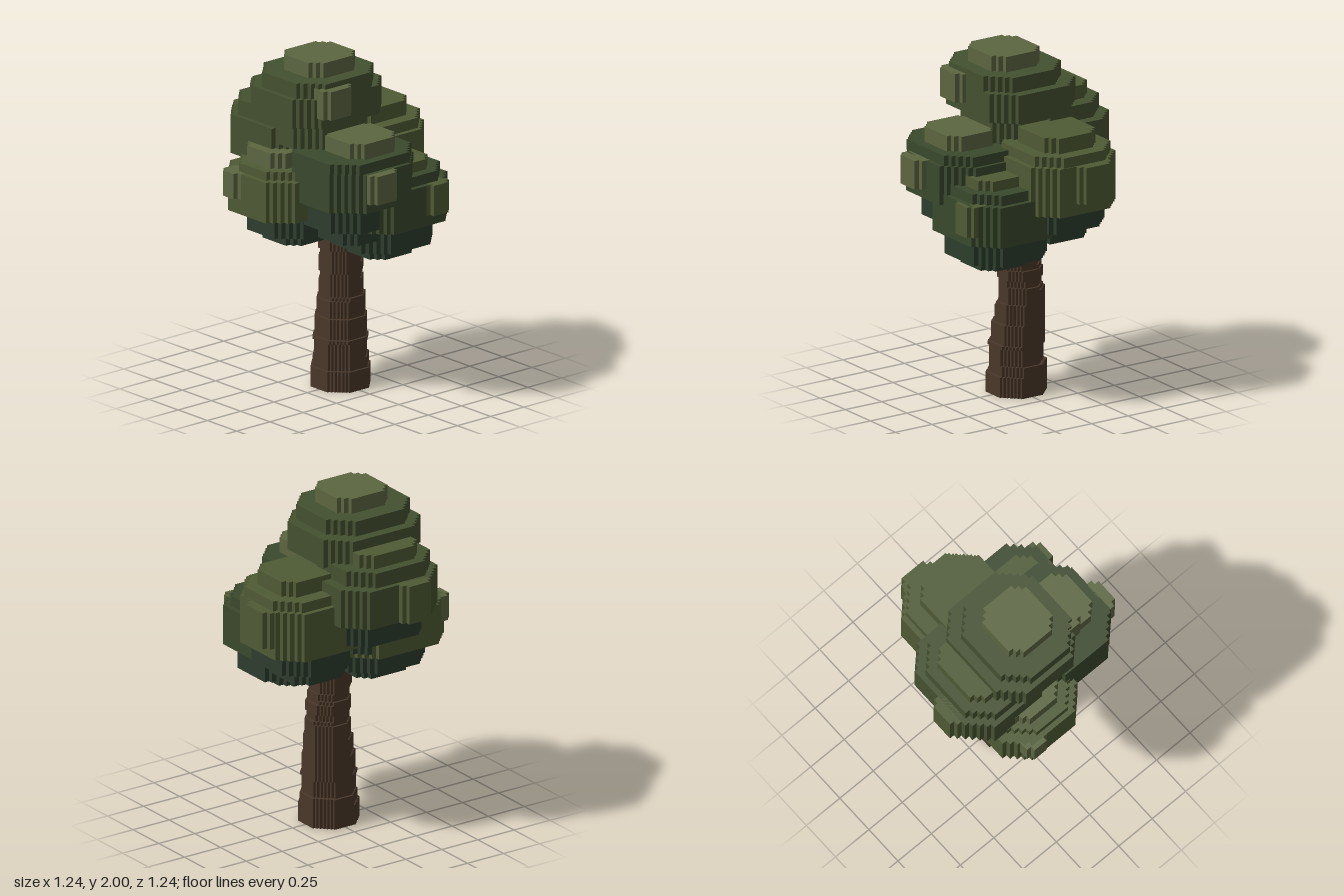
import * as THREE from 'three';
import { mergeGeometries } from 'three/addons/utils/BufferGeometryUtils.js';

const VOXEL = 0.0294;
const mat = (color) => new THREE.MeshStandardMaterial({ color, flatShading: true });
const COLORS = {
  dark: mat(0x2d3d2d), deep: mat(0x3a492d), mid: mat(0x445130),
  olive: mat(0x4f5b35), light: mat(0x5c6640), bark: mat(0x49382a),
};

// Prism with an octagonal outline whose corners are cut in voxel steps
function steppedPrism(x0, x1, y0, y1, z0, z1, cut, step) {
  const n = Math.max(0, Math.round(cut / step));
  const pts = [];
  const cx = (x0 + x1) / 2, cz = (z0 + z1) / 2;
  const hx = (x1 - x0) / 2, hz = (z1 - z0) / 2;
  const corner = [];
  for (let i = 0; i <= n; i++) {
    corner.push([hx - i * step, hz - (n - i) * step]);
    if (i < n) corner.push([hx - (i + 1) * step, hz - (n - i) * step]);
  }
  // Mirror the corner into the four quadrants, keeping the winding
  for (const [sx, sy] of [[1, 1], [-1, 1], [-1, -1], [1, -1]]) {
    const run = sx * sy > 0 ? corner : [...corner].reverse();
    for (const [x, y] of run) pts.push(new THREE.Vector2(cx + sx * x, -cz + sy * y));
  }
  const geo = new THREE.ExtrudeGeometry(new THREE.Shape(pts), { depth: y1 - y0, bevelEnabled: false });
  return geo.rotateX(-Math.PI / 2).translate(0, y0, 0);
}

// Leaf clumps: layers and raised side pads are [x0, x1, y0, y1, z0, z1, color]
const CLUMPS = {
  topLeaves: {
    layers: [
      [-0.41, 0.14, 1.5, 1.65, -0.29, 0.18, 'mid'],
      [-0.47, 0.20, 1.65, 1.82, -0.35, 0.24, 'mid'],
      [-0.44, 0.14, 1.82, 1.91, -0.29, 0.24, 'mid'],
      [-0.32, 0.03, 1.91, 2.0, -0.18, 0.15, 'light'],
    ],
    pads: [[-0.36, -0.15, 1.71, 1.88, 0.15, 0.295, 'light']],
  },
  backLeaves: {
    layers: [
      [-0.29, 0.06, 1.12, 1.21, -0.38, -0.08, 'dark'],
      [-0.38, 0.15, 1.21, 1.36, -0.47, -0.03, 'dark'],
      [-0.44, 0.23, 1.36, 1.59, -0.56, 0.03, 'mid'],
      [-0.41, 0.17, 1.59, 1.68, -0.53, 0.0, 'mid'],
      [-0.32, 0.08, 1.68, 1.76, -0.47, -0.08, 'olive'],
    ],
    pads: [[-0.29, -0.09, 1.36, 1.59, -0.62, -0.45, 'olive']],
  },
  rightSideLeaves: {
    layers: [
      [-0.41, -0.05, 0.91, 0.97, -0.26, 0.06, 'dark'],
      [-0.50, 0.03, 0.97, 1.09, -0.35, 0.12, 'dark'],
      [-0.59, 0.06, 1.09, 1.33, -0.41, 0.15, 'olive'],
      [-0.56, 0.0, 1.33, 1.38, -0.35, 0.12, 'olive'],
      [-0.50, -0.12, 1.38, 1.47, -0.29, 0.03, 'light'],
    ],
    pads: [[-0.62, -0.45, 1.18, 1.33, -0.33, -0.18, 'light']],
  },
  leftSideLeaves: {
    layers: [
      [0.03, 0.38, 0.97, 1.06, -0.26, 0.09, 'dark'],
      [0.0, 0.49, 1.06, 1.18, -0.35, 0.18, 'dark'],
      [-0.06, 0.555, 1.18, 1.47, -0.38, 0.20, 'olive'],
      [-0.02, 0.55, 1.47, 1.53, -0.35, 0.17, 'olive'],
      [0.09, 0.47, 1.53, 1.62, -0.26, 0.09, 'olive'],
    ],
    pads: [[0.45, 0.615, 1.25, 1.47, -0.25, -0.03, 'olive']],
  },
  frontLeaves: {
    layers: [
      [-0.29, 0.03, 0.97, 1.06, 0.08, 0.41, 'dark'],
      [-0.38, 0.09, 1.06, 1.21, 0.0, 0.47, 'dark'],
      [-0.44, 0.19, 1.21, 1.44, -0.06, 0.555, 'deep'],
      [-0.44, 0.17, 1.44, 1.50, -0.03, 0.53, 'deep'],
      [-0.29, 0.05, 1.50, 1.59, 0.14, 0.47, 'light'],
    ],
    pads: [[-0.29, -0.09, 1.27, 1.44, 0.45, 0.615, 'light']],
  },
  frontLeftLeaves: {
    layers: [
      [-0.06, 0.26, 0.83, 0.89, 0.06, 0.38, 'dark'],
      [-0.15, 0.38, 0.89, 1.03, -0.03, 0.47, 'dark'],
      [-0.18, 0.44, 1.03, 1.27, -0.06, 0.53, 'deep'],
      [-0.12, 0.41, 1.27, 1.33, -0.03, 0.50, 'deep'],
      [-0.03, 0.32, 1.33, 1.39, 0.06, 0.44, 'olive'],
    ],
    pads: [[0.18, 0.35, 1.09, 1.27, 0.40, 0.56, 'olive']],
  },
};

function buildClump(name, { layers, pads }) {
  const group = new THREE.Group();
  group.name = name;
  const addBlock = (part, [x0, x1, y0, y1, z0, z1, color], cut) => {
    const mesh = new THREE.Mesh(steppedPrism(x0, x1, y0, y1, z0, z1, cut, VOXEL), COLORS[color]);
    mesh.name = part;
    group.add(mesh);
  };
  for (const layer of layers) {
    const width = Math.min(layer[1] - layer[0], layer[5] - layer[4]);
    addBlock('leafLayer', layer, width * (width < 0.4 ? 0.18 : 0.22));
  }
  for (const pad of pads) addBlock('leafPad', pad, VOXEL);
  return group;
}

// Trunk: thin stepped rings that taper and follow a slightly bent centre line
function buildTrunk() {
  const bend = new THREE.CatmullRomCurve3([
    [0, 0, 0], [0.005, 0.3, -0.005], [0.02, 0.6, -0.018], [0, 0.82, -0.01], [-0.04, 1.08, -0.02],
  ].map((p) => new THREE.Vector3(...p)));
  const rings = [];
  const count = 54, h = 0.02, unit = 0.0147;
  const snap = (v) => Math.round(v / unit) * unit;
  for (let i = 0; i < count; i++) {
    const c = bend.getPointAt(i / (count - 1));
    const r = Math.max(0.108, 0.163 - 0.065 * c.y);
    rings.push(steppedPrism(snap(c.x - r), snap(c.x + r), i * h, (i + 1) * h,
      snap(c.z - r), snap(c.z + r), r * 0.56, unit));
  }
  const mesh = new THREE.Mesh(mergeGeometries(rings), COLORS.bark);
  mesh.name = 'trunk';
  return mesh;
}

export function createModel() {
  const tree = new THREE.Group();
  tree.name = 'tree';
  tree.add(buildTrunk());
  for (const [name, clump] of Object.entries(CLUMPS)) tree.add(buildClump(name, clump));
  return tree;
}
